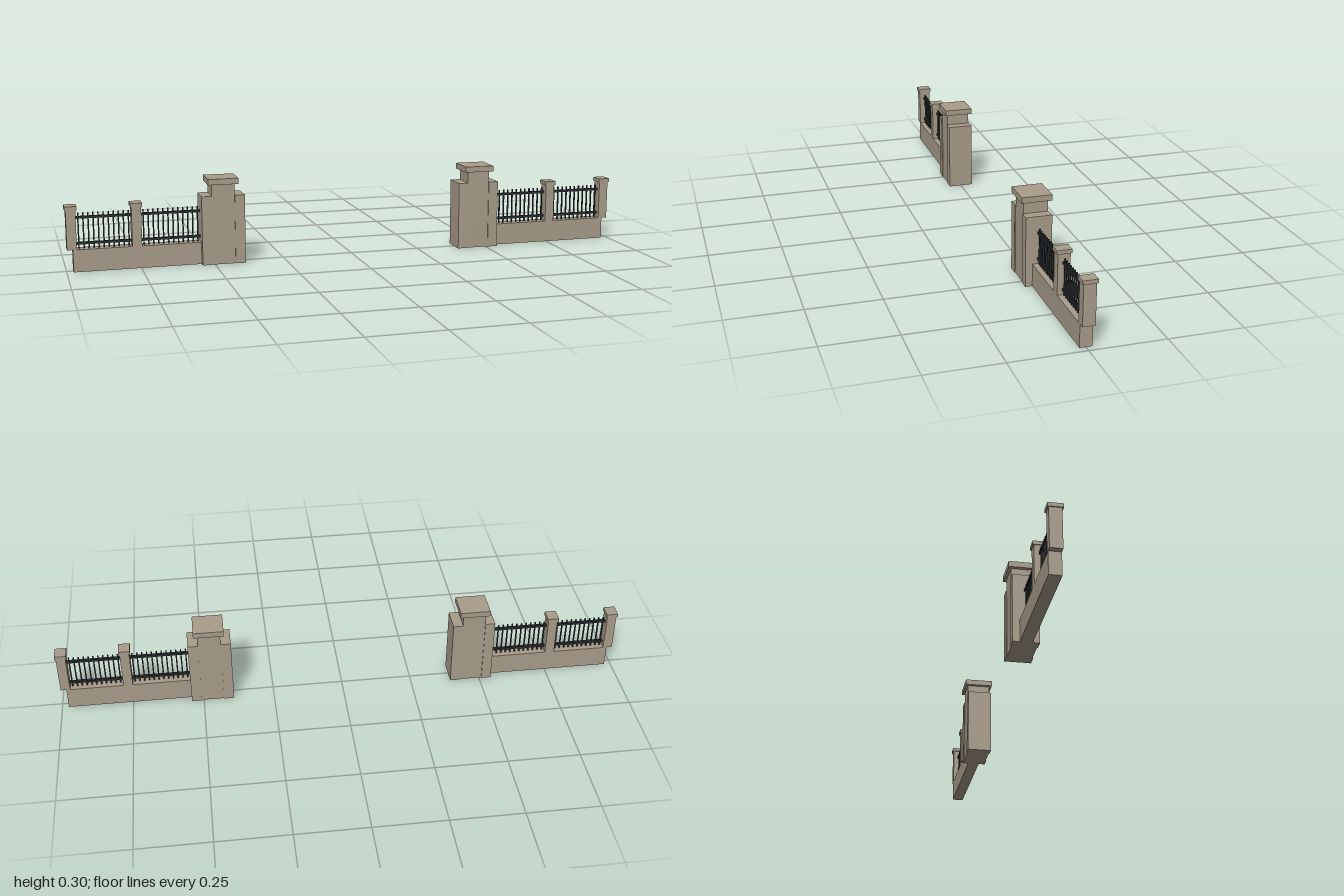
import * as THREE from 'three';

export function createModel() {
  const stone = new THREE.MeshStandardMaterial({ color: 0xa99d8b });
  stone.name = 'stone';
  const iron = new THREE.MeshStandardMaterial({ color: 0x2b2f31 });
  iron.name = 'dark iron';

  // Box given by its x and y ranges and its full depth, centred on z = 0
  function box(parent, name, material, x0, x1, y0, y1, depth) {
    const mesh = new THREE.Mesh(new THREE.BoxGeometry(x1 - x0, y1 - y0, depth), material);
    mesh.position.set((x0 + x1) / 2, (y0 + y1) / 2, 0);
    mesh.name = name;
    parent.add(mesh);
  }

  function group(parent, name) {
    const g = new THREE.Group();
    g.name = name;
    parent.add(g);
    return g;
  }

  const wallTop = 0.077;

  // Large gate pillar: core, two lower flanking blocks and a cap
  function gatePillar(parent) {
    const g = group(parent, 'gatePillar');
    box(g, 'pillarCore', stone, 0.428, 0.508, 0, 0.28, 0.082);
    box(g, 'innerBlock', stone, 0.393, 0.428, 0, 0.24, 0.088);
    box(g, 'outerBlock', stone, 0.508, 0.543, 0, 0.24, 0.088);
    box(g, 'pillarCap', stone, 0.415, 0.521, 0.28, 0.3, 0.102);
  }

  // Small fence post standing on the wall
  function fencePost(parent, x) {
    const g = group(parent, 'fencePost');
    box(g, 'postShaft', stone, x - 0.0165, x + 0.0165, wallTop, 0.213, 0.041);
    box(g, 'postCap', stone, x - 0.02, x + 0.02, 0.213, 0.226, 0.049);
  }

  // Iron railing: two rails and evenly spaced upright bars
  function railing(parent, x0, x1, bars) {
    const g = group(parent, 'railing');
    for (const y of [0.095, 0.184]) {
      box(g, 'rail', iron, x0, x1, y - 0.004, y + 0.004, 0.01);
    }
    for (let i = 0; i < bars; i++) {
      const x = x0 + (x1 - x0) * (i + 0.5) / bars;
      box(g, 'bar', iron, x - 0.0022, x + 0.0022, wallTop, 0.2, 0.0044);
    }
  }

  const model = new THREE.Group();
  model.name = 'gateway';

  // Both sides are alike; each part is itself symmetric, so turning mirrors it
  for (const side of ['left', 'right']) {
    const half = group(model, side + 'Fence');
    gatePillar(half);
    box(half, 'lowWall', stone, 0.543, 0.977, 0, wallTop, 0.041);
    fencePost(half, 0.762);
    fencePost(half, 0.98);
    railing(half, 0.543, 0.7455, 12);
    railing(half, 0.7785, 0.9635, 11);
    if (side === 'right') half.rotation.y = Math.PI;
  }
  return model;
}
